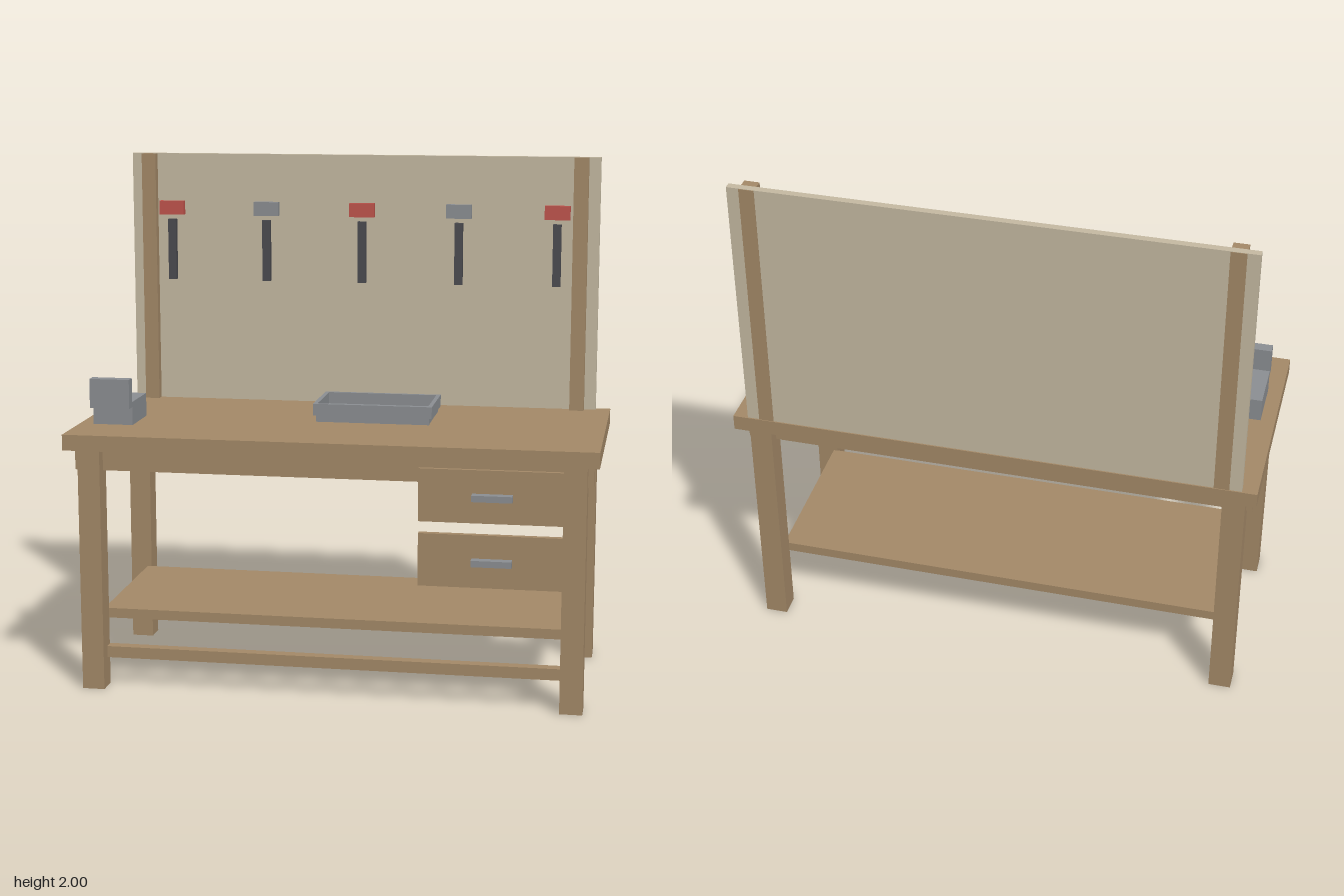
import * as THREE from 'three';

const material = (name, color) => {
  const m = new THREE.MeshStandardMaterial({ color });
  m.name = name;
  return m;
};

export function createModel() {
  const wood = material('wood', 0xa68b69);
  const board = material('pale board', 0xc7bca4);
  const metal = material('grey metal', 0x8d9094);
  const red = material('red', 0xc2544c);
  const dark = material('dark grip', 0x4b4b50);

  const bench = new THREE.Group();
  bench.name = 'workbench';

  // Box given by its [min, max] range on each axis
  const box = (name, mat, [x0, x1], [y0, y1], [z0, z1], parent = bench) => {
    const mesh = new THREE.Mesh(new THREE.BoxGeometry(x1 - x0, y1 - y0, z1 - z0), mat);
    mesh.position.set((x0 + x1) / 2, (y0 + y1) / 2, (z0 + z1) / 2);
    mesh.name = name;
    parent.add(mesh);
    return mesh;
  };
  const group = (name) => {
    const g = new THREE.Group();
    g.name = name;
    bench.add(g);
    return g;
  };
  // Range mirrored to the negative side when s is -1
  const side = (s, a, b) => (s > 0 ? [a, b] : [-b, -a]);

  // Frame: top, legs, aprons, shelf and front stretcher
  box('tabletop', wood, [-1, 1], [0.94, 1], [-0.442, 0.442]);
  for (const sz of [1, -1]) {
    for (const sx of [1, -1]) {
      box('leg', wood, side(sx, 0.87, 0.955), [0, 0.94], side(sz, 0.315, 0.4));
    }
    box('apron', wood, [-0.978, 0.978], [0.85, 0.94], side(sz, 0.313, 0.353));
  }
  box('shelf', wood, [-0.887, 0.887], [0.262, 0.3], [-0.317, 0.317]);
  box('stretcher', wood, [-0.887, 0.887], [0.113, 0.157], [0.307, 0.35]);

  // Drawer fronts with pulls
  for (const y of [0.805, 0.56]) {
    const drawer = group('drawer');
    box('drawerFront', wood, [0.335, 0.885], [y - 0.1, y + 0.1], [0.345, 0.37], drawer);
    box('drawerPull', metal, [0.535, 0.685], [y - 0.012, y + 0.012], [0.37, 0.406], drawer);
  }

  // Tool board and its posts
  box('toolBoard', board, [-0.943, 0.943], [1, 2], [-0.437, -0.41]);
  for (const s of [1, -1]) {
    box('boardPost', wood, side(s, 0.84, 0.897), [1, 1.999], [-0.439, -0.376]);
  }

  // Hanging hammers with alternating head colours
  for (let i = 0; i < 5; i++) {
    const x = (i - 2) * 0.389;
    const hammer = group('hammer');
    box('hammerHead', i % 2 ? metal : red, [x - 0.05, x + 0.05], [1.755, 1.81], [-0.41, -0.383], hammer);
    box('hammerHandle', dark, [x - 0.016, x + 0.016], [1.492, 1.737], [-0.41, -0.385], hammer);
  }

  // Open parts tray
  const tray = group('tray');
  box('trayFloor', metal, [-0.108, 0.328], [1, 1.025], [-0.242, 0.015], tray);
  for (const [z0, z1] of [[-0.255, -0.24], [0.012, 0.027]]) {
    box('trayLongWall', metal, [-0.11, 0.33], [1, 1.07], [z0, z1], tray);
  }
  for (const [x0, x1] of [[-0.122, -0.106], [0.324, 0.34]]) {
    box('trayShortWall', metal, [x0, x1], [1.025, 1.07], [-0.255, 0.027], tray);
  }

  // Bench vise
  const vise = group('vise');
  box('viseBody', metal, [-0.945, -0.79], [1, 1.09], [0.012, 0.213], vise);
  box('viseJaw', metal, [-0.945, -0.79], [1.07, 1.182], [0.213, 0.256], vise);

  return bench;
}
